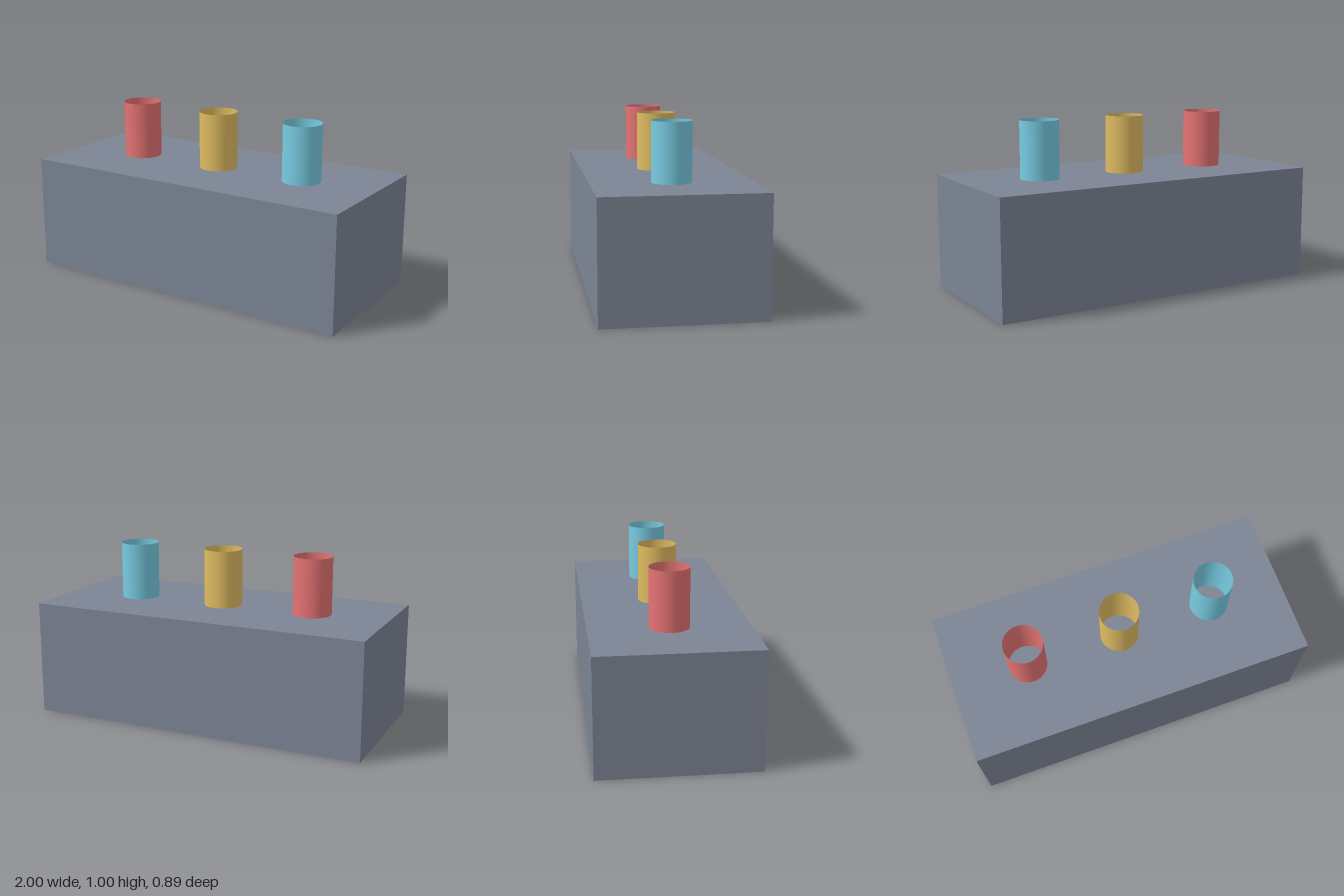
import * as THREE from 'three';

export function createModel() {
  const model = new THREE.Group();
  const bodyHeight = 2 / 3;
  const pegHeight = 1 / 3;
  const pegRadius = 1 / 9;

  // Solid block
  const body = new THREE.Mesh(
    new THREE.BoxGeometry(2, bodyHeight, 8 / 9),
    new THREE.MeshStandardMaterial({ color: 0x7c8494 })
  );
  body.name = 'body';
  body.position.y = bodyHeight / 2;
  model.add(body);

  // Row of thin, open-ended tubes standing on the block
  const tubeGeometry = new THREE.CylinderGeometry(pegRadius, pegRadius, pegHeight, 32, 1, true);
  const tubes = [
    ['redTube', 0xe57373, -5 / 9],
    ['yellowTube', 0xe0bc62, 0],
    ['blueTube', 0x78cce2, 5 / 9],
  ];
  for (const [name, color, x] of tubes) {
    const tube = new THREE.Mesh(
      tubeGeometry,
      new THREE.MeshStandardMaterial({ color, side: THREE.DoubleSide })
    );
    tube.name = name;
    tube.position.set(x, bodyHeight + pegHeight / 2, 0);
    model.add(tube);
  }

  return model;
}
